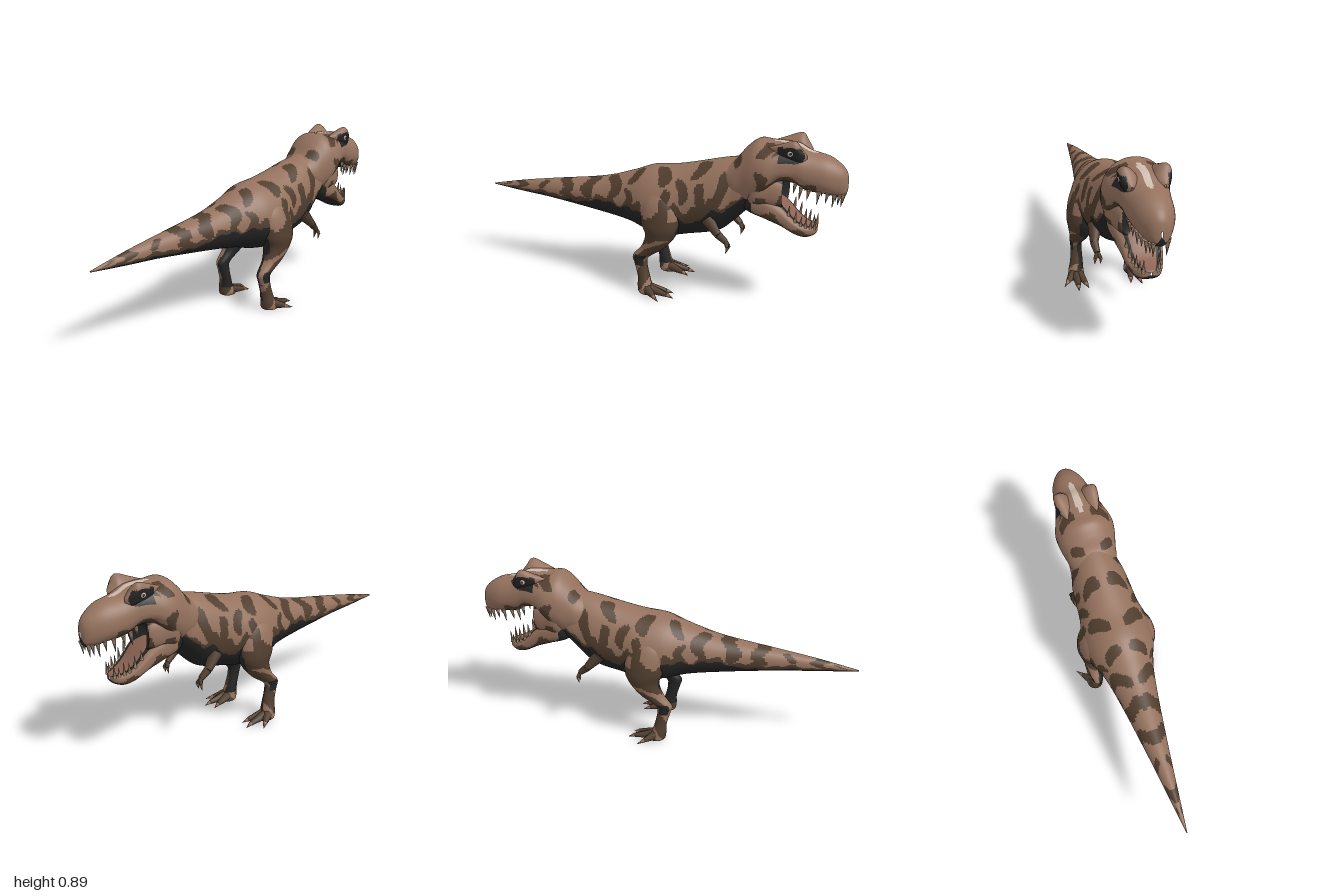
import * as THREE from 'three';

const mat = (name, color) => {
  const m = new THREE.MeshStandardMaterial({ color });
  m.name = name;
  return m;
};
const TAN = 0, BROWN = 1, DARK = 2, PALE = 3, TONGUE = 4, TOOTH = 5;
const mats = [
  mat('tan hide', 0x95725e), mat('brown stripe', 0x513e2e), mat('charcoal belly', 0x242424),
  mat('pale marking', 0xcdbcae), mat('tongue', 0x8c6454), mat('tooth', 0xa0866e),
];

// Smooth interpolation through a list of cross-sections
function sectionAt(list, t) {
  const i = Math.min(Math.floor(t), list.length - 2), f = t - i;
  const A = list[Math.max(i - 1, 0)], B = list[i], C = list[i + 1], D = list[Math.min(i + 2, list.length - 1)];
  return B.map((b, k) => {
    const m0 = (C[k] - A[k]) / 2, m1 = (D[k] - b) / 2, d = C[k] - b;
    return b + f * m0 + f * f * (3 * d - 2 * m0 - m1) + f * f * f * (m0 + m1 - 2 * d);
  });
}

// Skin cross-sections into one closed surface; paint() picks a material per cell
function loft(name, list, toPoint, paint, steps = 8, sides = 32) {
  const rows = (list.length - 1) * steps, pos = [], buckets = mats.map(() => []);
  for (let r = 0; r <= rows; r++) {
    const s = sectionAt(list, r / steps);
    for (let c = 0; c < sides; c++) pos.push(...toPoint(s, (c / sides) * Math.PI * 2));
  }
  const P = (i) => new THREE.Vector3().fromArray(pos, i * 3);
  let volume = 0;
  for (let r = 0; r < rows; r++) for (let c = 0; c < sides; c++) {
    const n = (c + 1) % sides;
    const a = r * sides + c, b = r * sides + n, d = a + sides, e = b + sides;
    const mid = P(a).add(P(b)).add(P(d)).add(P(e)).multiplyScalar(0.25);
    buckets[paint(mid, ((c + 0.5) / sides) * Math.PI * 2)].push(a, d, b, b, d, e);
    volume += P(a).dot(P(d).cross(P(b))) + P(b).dot(P(d).cross(P(e)));
  }
  const g = new THREE.BufferGeometry(), index = [];
  buckets.forEach((tris, m) => {
    if (!tris.length) return;
    g.addGroup(index.length, tris.length, m);
    for (let i = 0; i < tris.length; i += 3) {
      if (volume > 0) index.push(tris[i], tris[i + 1], tris[i + 2]);
      else index.push(tris[i], tris[i + 2], tris[i + 1]);
    }
  });
  g.setAttribute('position', new THREE.Float32BufferAttribute(pos, 3));
  g.setIndex(index);
  g.computeVertexNormals();
  const mesh = new THREE.Mesh(g, mats);
  mesh.name = name;
  return mesh;
}

// Section [z, top, bottom, halfWidth, widestY]; power below 1 makes it boxier
const pw = (v, p) => Math.sign(v) * Math.abs(v) ** p;
const across = (p = 1) => ([z, top, bot, w, yc], a) => {
  const c = pw(Math.cos(a), p);
  return [w * pw(Math.sin(a), p), yc + c * (c > 0 ? top - yc : yc - bot), z];
};
// Section [y, centreX, centreZ, radiusX, radiusZ]
const upright = (side) => ([y, cx, cz, rx, rz], a) => [side * (cx + rx * Math.sin(a)), y, cz + rz * Math.cos(a)];

// Tapered piece between two points
function taper(name, from, to, r0, r1, material, sides = 6) {
  const a = new THREE.Vector3(...from), b = new THREE.Vector3(...to), d = b.clone().sub(a);
  const m = new THREE.Mesh(new THREE.CylinderGeometry(r1, r0, d.length(), sides), mats[material]);
  m.position.copy(a).add(b).multiplyScalar(0.5);
  m.quaternion.setFromUnitVectors(new THREE.Vector3(0, 1, 0), d.normalize());
  m.name = name;
  return m;
}

// Rounded stripes: [z, angle from spine: start, end, half thickness]
const bodyStripes = [
  [-0.41, 0.75, 1.7, 0.03], [-0.29, 0.14, 0.85, 0.036], [-0.32, 0.95, 1.65, 0.024],
  [-0.21, 0.75, 1.5, 0.024], [-0.1, 0.18, 0.9, 0.036], [-0.12, 1.0, 1.6, 0.026], [0.06, 0.14, 0.85, 0.03],
  [0.09, 1.0, 1.5, 0.022], [0.19, 0.12, 1.45, 0.036], [0.345, -0.4, 1.7, 0.038], [0.495, -0.4, 1.7, 0.036],
  [0.64, 0.35, 1.4, 0.024], [0.8, -0.4, 1.7, 0.035], [0.9, 0.4, 1.3, 0.02],
];
const headStripes = [[-0.62, 0.25, 1.0, 0.032], [-0.665, 0.45, 0.95, 0.016], [-0.49, 0.3, 1.0, 0.02], [-0.6, 1.4, 2.1, 0.025]];
const striped = (list, z, ang) => list.some(([z0, a0, a1, h]) => {
  const v = (ang - (a0 + a1) / 2) / ((a1 - a0) / 2);
  const u = (z - z0 + 0.018 * Math.sin(ang * 4 + z0 * 20) - 0.014 * v * v) / h;
  return u * u + v ** 4 < 1;
});

// Striped back, ragged brown fringe, charcoal underside
function hide(p, a) {
  const ang = Math.min(a, Math.PI * 2 - a), c = Math.cos(ang);
  const wob = 0.08 * Math.sin(p.z * 31) + 0.06 * Math.sin(p.z * 67 + 1);
  const tail = THREE.MathUtils.smoothstep(p.z, 0.32, 0.44), rump = p.z > 0 ? 0.15 : 0;
  const flank = Math.max(0, 1 - Math.abs(p.z + 0.27) / 0.12);
  if (c < -0.22 + rump - 0.45 * tail - 0.25 * flank + wob) return DARK;
  if (c < -0.05 + rump - 0.2 * tail + 0.08 * flank + wob * 1.8) return BROWN;
  return striped(bodyStripes, p.z, ang) ? BROWN : TAN;
}

function headPaint(p, a) {
  const ang = Math.min(a, Math.PI * 2 - a), c = Math.cos(ang);
  if (p.z < -0.64 && c < -0.8) return DARK;
  const streak = 0.02 * Math.sqrt(Math.max(0, 1 - ((p.z + 0.74) / 0.11) ** 2));
  if (c > 0 && Math.abs(p.x) < streak) return PALE;
  if (Math.abs(p.z + 0.73) < 0.05 && p.y > 0.79 && Math.abs(p.x) > 0.08) return DARK;
  if (p.z > -0.86 && c < -0.42 + 0.12 * Math.sin(p.z * 50) && p.z < -0.6) return BROWN;
  return striped(headStripes, p.z, ang) ? BROWN : TAN;
}

const upperHead = [
  [-0.4, 0.735, 0.6, 0.1, 0.65], [-0.455, 0.768, 0.56, 0.125, 0.65], [-0.505, 0.828, 0.53, 0.136, 0.67],
  [-0.56, 0.87, 0.55, 0.151, 0.7], [-0.62, 0.867, 0.61, 0.156, 0.72], [-0.68, 0.867, 0.675, 0.136, 0.745],
  [-0.75, 0.862, 0.67, 0.114, 0.75], [-0.81, 0.835, 0.64, 0.104, 0.73], [-0.9, 0.815, 0.632, 0.088, 0.71],
  [-0.96, 0.78, 0.622, 0.06, 0.7], [-0.99, 0.745, 0.632, 0.034, 0.69], [-1.0, 0.7, 0.67, 0.003, 0.69],
];
const lowerJaw = [
  [-0.48, 0.58, 0.54, 0.01, 0.56], [-0.53, 0.62, 0.505, 0.11, 0.57], [-0.62, 0.62, 0.475, 0.116, 0.55],
  [-0.7, 0.565, 0.445, 0.1, 0.51], [-0.77, 0.495, 0.41, 0.085, 0.465], [-0.82, 0.468, 0.4, 0.066, 0.44],
  [-0.86, 0.458, 0.415, 0.04, 0.44], [-0.872, 0.45, 0.435, 0.003, 0.44],
];

function addHead(group) {
  group.add(loft('upperHead', upperHead, across(0.94), headPaint, 12, 96));
  group.add(loft('lowerJaw', lowerJaw, across(0.75), (p, a) => {
    const c = Math.cos(a);
    if (c > 0.72) return Math.abs(Math.sin(a)) < 0.45 ? TONGUE : DARK;
    if (c < -0.6 || p.z > -0.56) return DARK;
    return c < -0.25 + 0.25 * Math.sin(p.z * 45) ? BROWN : TAN;
  }, 8, 48));
  // Cheek wall that closes the back of the mouth
  group.add(loft('cheeks', [
    [-0.5, 0.7, 0.54, 0.01, 0.62], [-0.55, 0.74, 0.52, 0.13, 0.64], [-0.64, 0.73, 0.53, 0.118, 0.63],
    [-0.7, 0.71, 0.54, 0.096, 0.62], [-0.69, 0.69, 0.56, 0.07, 0.62], [-0.65, 0.63, 0.61, 0.003, 0.62],
  ], across(0.8), (p) => {
    if (Math.abs(p.x) < 0.085 && p.z < -0.64) return DARK;
    return p.y < 0.59 + 0.03 * Math.sin(p.z * 60) || p.y > 0.68 ? BROWN : TAN;
  }));

  for (const s of [-1, 1]) {
    // Angular brow ridge leaning outward, with the eye set in its dark flank
    group.add(loft('browHorn', [
      [-0.62, 0.85, 0.83, 0.004, 0.835], [-0.68, 0.873, 0.8, 0.034, 0.84], [-0.75, 0.896, 0.785, 0.04, 0.84],
      [-0.785, 0.856, 0.785, 0.032, 0.825], [-0.81, 0.825, 0.81, 0.003, 0.82],
    ], ([z, top, bot, w, yc], a) => {
      const y = yc + Math.cos(a) * (Math.cos(a) > 0 ? top - yc : yc - bot);
      return [s * (0.072 + w * pw(Math.sin(a), 1.15) + 0.35 * Math.max(0, y - yc)), y, z];
    }, (p) => (s * p.x > 0.09 && p.y < 0.864 && p.z < -0.67 ? DARK : TAN), 8, 24));
    const eye = new THREE.Mesh(new THREE.SphereGeometry(0.014, 12, 8), mats[PALE]);
    eye.scale.x = 0.4;
    eye.position.set(s * 0.112, 0.838, -0.735);
    eye.name = 'eye';
    const pupil = new THREE.Mesh(new THREE.SphereGeometry(0.007, 10, 8), mats[DARK]);
    pupil.scale.x = 0.4;
    pupil.position.set(s * 0.116, 0.838, -0.737);
    pupil.name = 'pupil';
    group.add(eye, pupil);
    // Teeth follow the lip lines
    for (let i = 0; i < 8; i++) {
      const sec = sectionAt(upperHead, 6.2 + i * 0.5), x = s * sec[3] * 0.72, y = sec[2] + 0.02;
      group.add(taper('upperTooth', [x, y, sec[0]], [x * 0.95, y - 0.052 - 0.014 * (i % 2), sec[0] + 0.008], 0.011, 0.001, TOOTH, 5));
    }
    for (let i = 0; i < 6; i++) {
      const sec = sectionAt(lowerJaw, 3.5 + i * 0.5), x = s * sec[3] * 0.8, y = sec[1] - 0.012;
      group.add(taper('lowerTooth', [x, y, sec[0]], [x, y + 0.05 + 0.014 * (i % 2), sec[0] - 0.004], 0.009, 0.001, TOOTH, 5));
    }
  }
}

function addLimbs(group, s) {
  group.add(loft('leg', [
    [0.635, 0.09, -0.08, 0.015, 0.03], [0.53, 0.122, -0.085, 0.066, 0.1], [0.41, 0.148, -0.095, 0.068, 0.102],
    [0.34, 0.145, -0.095, 0.065, 0.08], [0.27, 0.148, -0.055, 0.047, 0.062], [0.21, 0.15, 0.01, 0.033, 0.045],
    [0.17, 0.15, 0.012, 0.03, 0.035], [0.1, 0.152, -0.005, 0.034, 0.032], [0.045, 0.157, -0.015, 0.041, 0.04],
    [0.008, 0.157, -0.03, 0.042, 0.046], [0.006, 0.157, -0.03, 0.004, 0.004],
  ], upright(s), (p, a) => {
    const out = Math.sin(a), back = Math.cos(a);
    if (p.y > 0.46 + 0.02 * Math.sin(p.z * 45)) return striped(bodyStripes, p.z, 1.2) ? BROWN : TAN;
    if (p.y > 0.06 && out < (p.y > 0.3 ? 0.25 : -0.05) + 0.12 * Math.sin(p.y * 40)) return DARK;
    if (p.y > 0.16 && p.y < 0.22 && out > 0.75) return DARK;
    if (p.y > 0.15 && p.y < 0.27 && back > 0.5) return TAN;
    return p.y < 0.33 && Math.sin(p.y * 46 + back * 2) > 0.72 ? TAN : BROWN;
  }, 8, 40));
  // Toes with claws
  for (const [x, z, splay] of [[0.125, -0.125, 0], [0.17, -0.145, 0], [0.215, -0.085, 0.008]]) {
    const dx = x - 0.157, end = [s * x, 0.016, z];
    group.add(taper('toe', [s * (0.157 + dx * 0.35), 0.032, -0.035], end, 0.027, 0.012, BROWN, 8));
    group.add(taper('toeClaw', end, [s * (0.157 + dx * 1.3 + splay), 0.004, z - 0.035], 0.012, 0.001, TAN));
  }
  // Short forearm with two claws
  const shoulder = [s * 0.125, 0.46, -0.34], elbow = [s * 0.143, 0.39, -0.405], wrist = [s * 0.137, 0.355, -0.445];
  group.add(taper('upperArm', shoulder, elbow, 0.036, 0.02, BROWN, 10));
  group.add(taper('forearm', elbow, wrist, 0.021, 0.015, BROWN, 10));
  for (const dx of [-0.014, 0.014]) {
    const knuckle = [wrist[0] + dx, 0.33, -0.458];
    group.add(taper('finger', wrist, knuckle, 0.012, 0.009, BROWN));
    group.add(taper('fingerClaw', knuckle, [knuckle[0], 0.298, -0.45], 0.009, 0.001, TAN));
  }
}

export function createModel() {
  const group = new THREE.Group();
  group.name = 'dinosaur';
  // Tail, trunk and neck in one sweep
  group.add(loft('body', [
    [1.0, 0.442, 0.436, 0.002, 0.44], [0.8, 0.485, 0.42, 0.028, 0.45], [0.6, 0.52, 0.407, 0.054, 0.46],
    [0.3, 0.57, 0.375, 0.098, 0.47], [0.12, 0.625, 0.35, 0.134, 0.475], [0, 0.67, 0.32, 0.178, 0.465],
    [-0.12, 0.685, 0.307, 0.185, 0.48], [-0.22, 0.708, 0.325, 0.162, 0.515], [-0.37, 0.748, 0.365, 0.15, 0.54],
    [-0.45, 0.765, 0.43, 0.132, 0.57], [-0.52, 0.78, 0.5, 0.122, 0.62], [-0.6, 0.74, 0.54, 0.09, 0.64],
    [-0.62, 0.65, 0.64, 0.003, 0.645],
  ], across(), hide, 22, 96));
  addHead(group);
  for (const s of [-1, 1]) addLimbs(group, s);
  return group;
}
